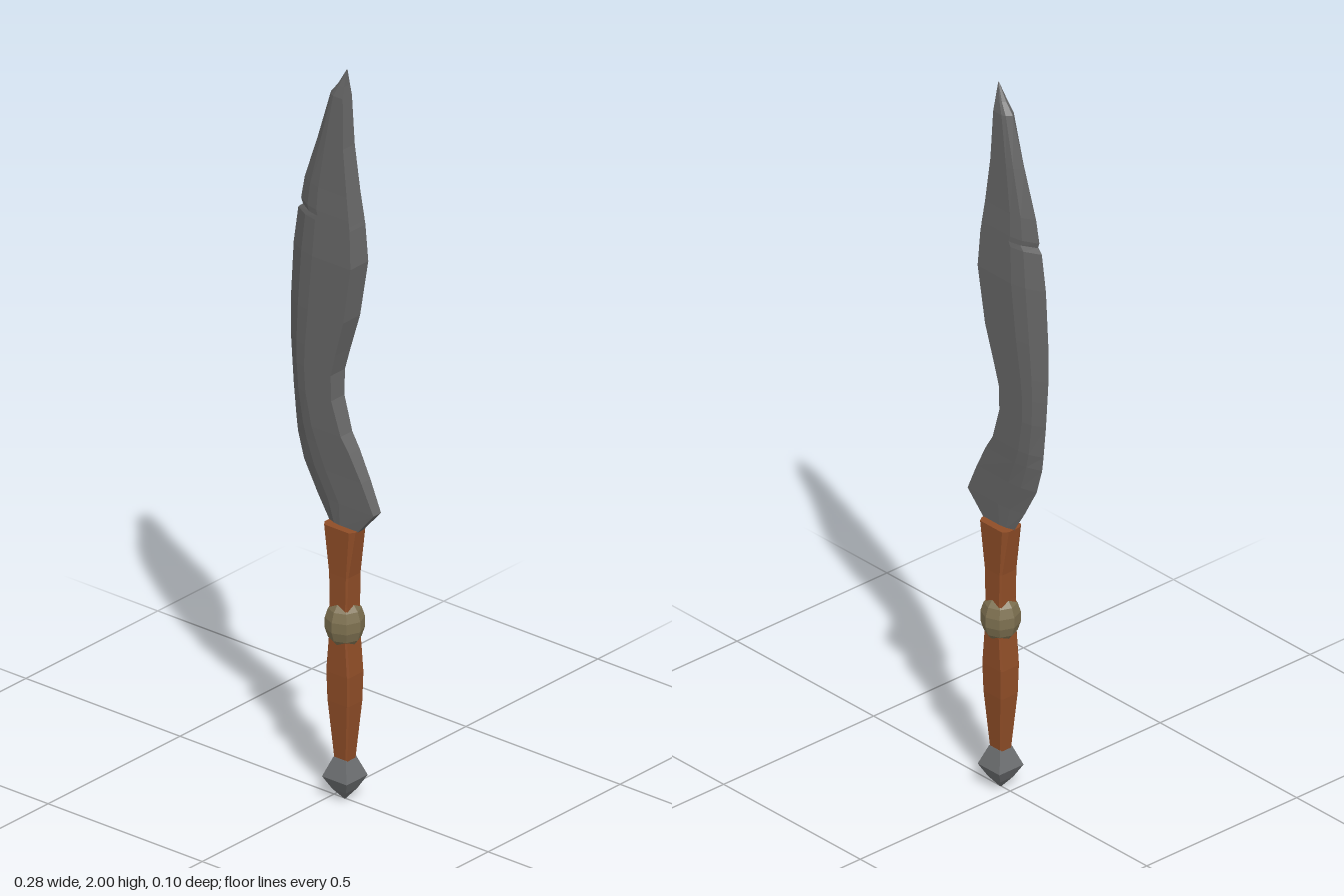
import * as THREE from 'three';

const AXIS = 0.035; // x of the handle's centre line

// Skins a stack of rings (each listed front left to right, then back) with flat facets and end caps.
function loft(rings) {
  const n = rings[0].length;
  const index = [];
  for (let r = 0; r < rings.length - 1; r++) {
    for (let i = 0; i < n; i++) {
      const a = r * n + i, b = r * n + (i + 1) % n;
      index.push(a, b, b + n, a, b + n, a + n);
    }
  }
  const top = (rings.length - 1) * n;
  for (let i = 1; i < n - 1; i++) {
    index.push(0, i + 1, i, top, top + i, top + i + 1);
  }
  const geometry = new THREE.BufferGeometry();
  geometry.setAttribute('position', new THREE.Float32BufferAttribute(rings.flat(2), 3));
  geometry.setIndex(index);
  const flat = geometry.toNonIndexed();
  flat.computeVertexNormals();
  return flat;
}

// Rectangle with cut corners: half sizes hx, hz and corner cuts cx, cz.
function gripRing([y, hx, hz, cx, cz]) {
  const quarter = [[hx - cx, hz], [hx, hz - cz]];
  const [p, q] = quarter;
  return [
    [-p[0], p[1]], [p[0], p[1]], [q[0], q[1]], [q[0], -q[1]],
    [p[0], -p[1]], [-p[0], -p[1]], [-q[0], -q[1]], [-q[0], q[1]],
  ].map(([x, z]) => [AXIS + x, y, z]);
}

// Blade section: sharp edge on the left, bevel, shoulder, flat spine on the right.
function bladeRing([y, edge, spine, t]) {
  const w = spine - edge;
  const side = [[edge + 0.22 * w, 0.75 * t], [edge + 0.42 * w, t], [spine, t * 0.97]];
  return [
    [edge, y, 0],
    ...side.map(([x, z]) => [x, y, z]),
    ...side.slice().reverse().map(([x, z]) => [x, y, -z]),
  ];
}

export function createModel() {
  const model = new THREE.Group();
  model.name = 'curvedKnife';
  const material = (name, color) => {
    const m = new THREE.MeshStandardMaterial({ color, flatShading: true });
    m.name = name;
    return m;
  };
  const steel = material('darkSteel', 0x676767);
  const wood = material('reddishWood', 0x8f4d27);
  const bone = material('agedBone', 0x7d7050);
  const iron = material('pommelIron', 0x6c6e70);

  const add = (name, geometry, mat) => {
    const mesh = new THREE.Mesh(geometry, mat);
    mesh.name = name;
    model.add(mesh);
    return mesh;
  };

  // Blade: y, edge x, spine x, half thickness; the nick sits near y 1.59
  const blade = [
    [0.745, -0.013, 0.083, 0.011],
    [0.81, -0.053, 0.14, 0.015],
    [0.89, -0.097, 0.103, 0.018],
    [0.96, -0.117, 0.066, 0.021],
    [1.0, -0.122, 0.04, 0.023],
    [1.09, -0.131, 0.012, 0.026],
    [1.16, -0.136, 0.012, 0.028],
    [1.22, -0.14, 0.028, 0.03],
    [1.32, -0.14, 0.057, 0.033],
    [1.475, -0.131, 0.082, 0.035],
    [1.575, -0.116, 0.076, 0.031],
    [1.588, -0.101, 0.074, 0.0305],
    [1.603, -0.107, 0.072, 0.03],
    [1.665, -0.095, 0.063, 0.027],
    [1.79, -0.052, 0.048, 0.023],
    [1.925, -0.01, 0.043, 0.018],
    [1.955, 0.014, 0.042, 0.012],
    [2.0, 0.041, 0.043, 0.001],
  ];
  add('blade', loft(blade.map(bladeRing)), steel);

  // Handle: waisted grip that flares under the blade
  const grip = [
    [0.1, 0.02, 0.018, 0.003, 0.003],
    [0.27, 0.036, 0.029, 0.005, 0.005],
    [0.35, 0.038, 0.031, 0.005, 0.005],
    [0.44, 0.03, 0.03, 0.004, 0.004],
    [0.54, 0.029, 0.028, 0.004, 0.004],
    [0.62, 0.031, 0.028, 0.004, 0.005],
    [0.75, 0.05, 0.032, 0.01, 0.014],
  ];
  add('handle', loft(grip.map(gripRing)), wood);

  // Rounded ring around the middle of the handle
  const ringProfile = [[0.028, 0.428], [0.042, 0.445], [0.05, 0.47], [0.05, 0.498], [0.042, 0.523], [0.028, 0.54]]
    .map(([r, y]) => new THREE.Vector2(r, y));
  add('gripRing', new THREE.LatheGeometry(ringProfile, 8), bone).position.x = AXIS;

  // Square pommel: flares from the handle, then closes to a point
  const square = ([y, h]) => [[-h, h], [h, h], [h, -h], [-h, -h]].map(([x, z]) => [AXIS + x, y, z]);
  add('pommel', loft([[0, 0.002], [0.027, 0.022], [0.062, 0.04], [0.115, 0.02]].map(square)), iron);

  return model;
}
